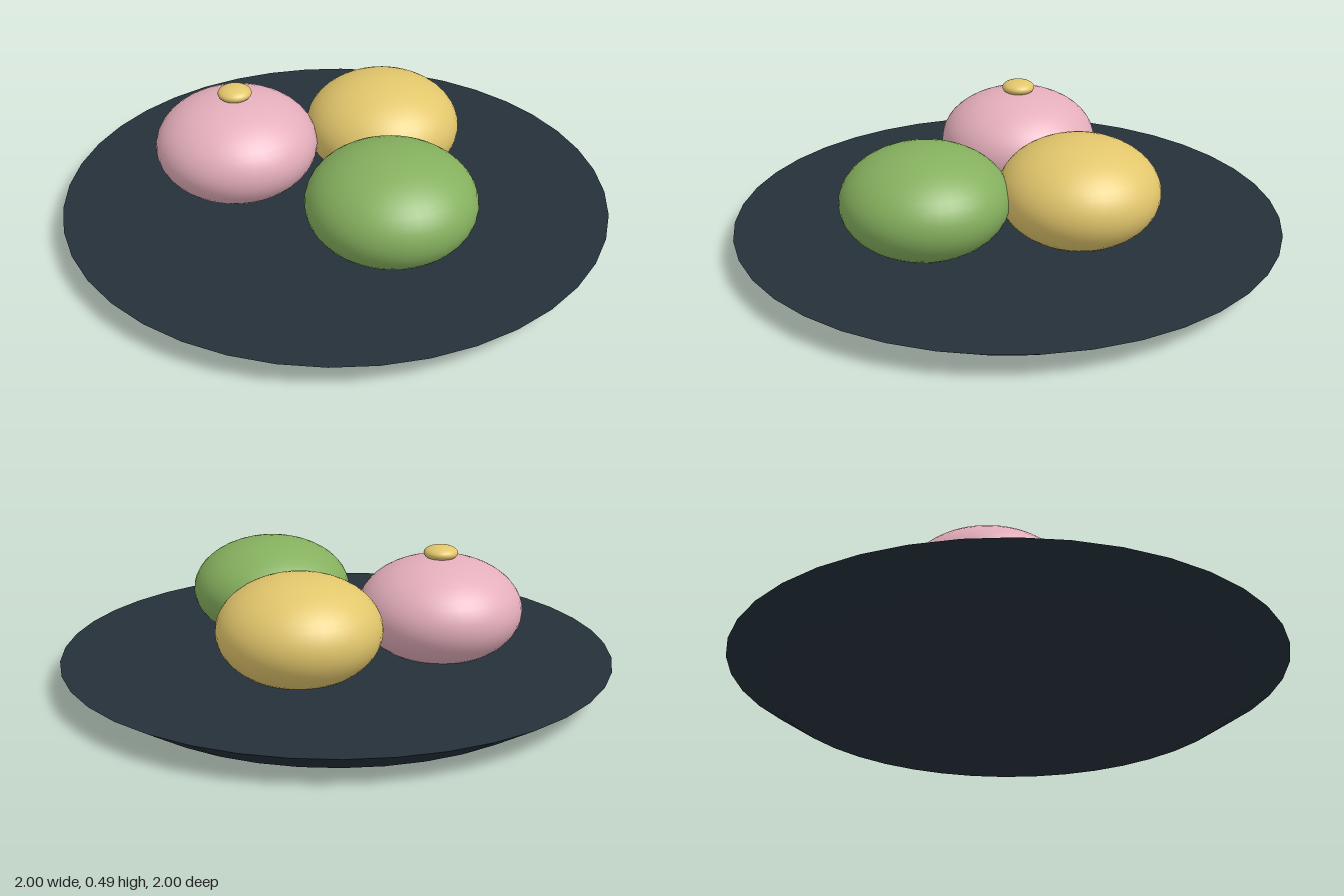
import * as THREE from 'three';

const material = (name, color) => {
  const m = new THREE.MeshStandardMaterial({ color });
  m.name = name;
  return m;
};

export function createModel() {
  const slate = material('slate', 0x25303a);
  const pink = material('pink', 0xe4aebb);
  const green = material('green', 0x85b05e);
  const yellow = material('yellow', 0xe2c66c);

  const group = new THREE.Group();
  group.name = 'sweetsOnPlate';

  // Flat plate with a sloping, faceted rim
  const plateGeometry = new THREE.CylinderGeometry(1, 0.835, 0.105, 40);
  const plate = new THREE.Mesh(plateGeometry, slate);
  plate.name = 'plate';
  plate.position.y = 0.0525;
  group.add(plate);

  // Smooth flattened ball
  const addBall = (name, mat, x, y, z, radius, halfHeight) => {
    const ball = new THREE.Mesh(new THREE.SphereGeometry(1, 40, 24), mat);
    ball.name = name;
    ball.scale.set(radius, halfHeight, radius);
    ball.position.set(x, y, z);
    group.add(ball);
  };

  // Three sweets resting on the plate
  addBall('pinkSweet', pink, -0.345, 0.255, 0.155, 0.3, 0.195);
  addBall('greenSweet', green, 0.343, 0.255, 0.135, 0.3, 0.195);
  addBall('yellowSweet', yellow, 0, 0.255, -0.293, 0.291, 0.195);

  // Small button on top of the pink sweet
  addBall('topButton', yellow, -0.345, 0.463, 0.155, 0.062, 0.028);

  return group;
}
